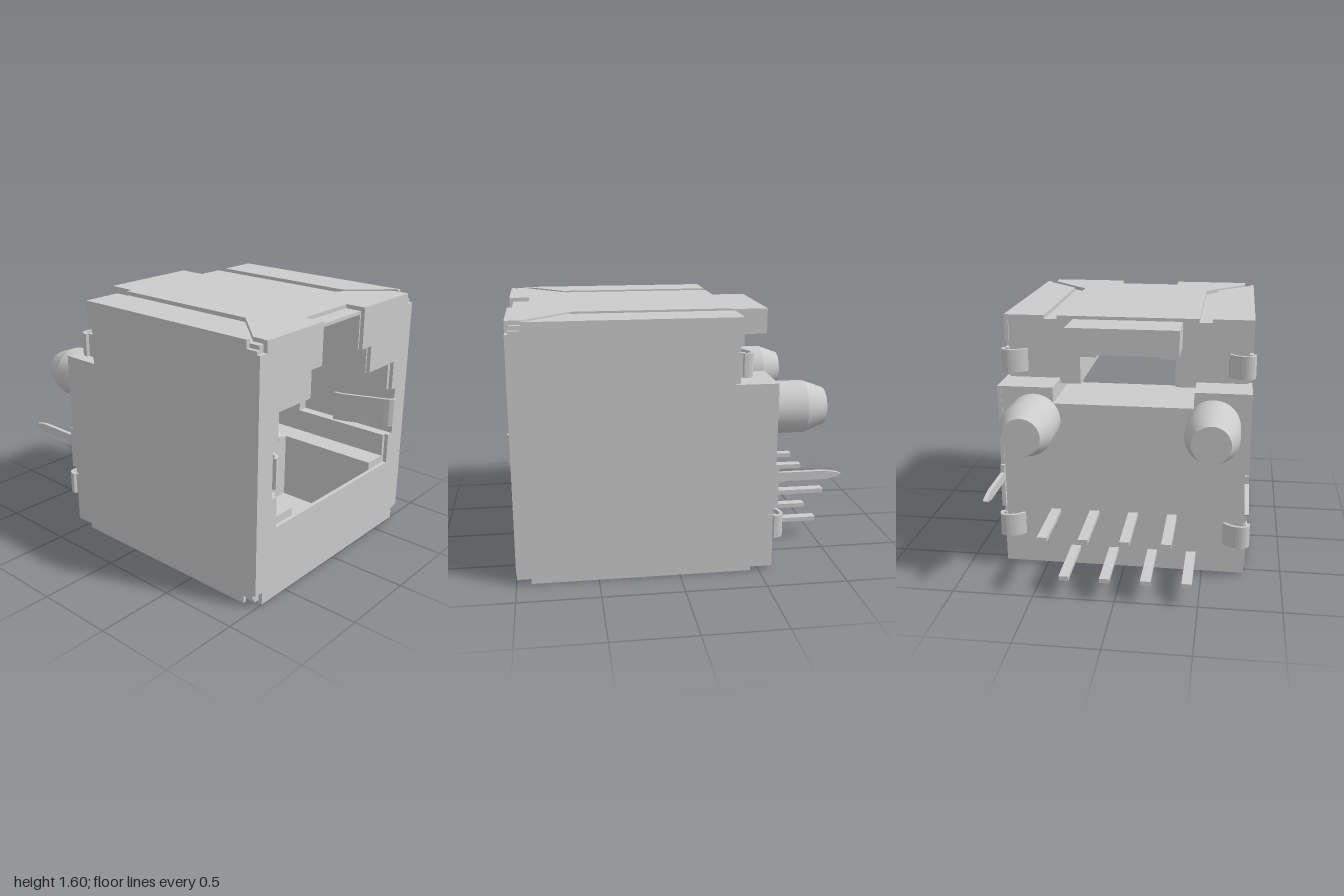
import * as THREE from 'three';

const material = new THREE.MeshStandardMaterial({ color: 0xcccccc });

const toShape = (pts) => new THREE.Shape(pts.map(([a, b]) => new THREE.Vector2(a, b)));
const solid = (pts, depth, hole) => {
  const shape = toShape(pts);
  if (hole) shape.holes.push(toShape(hole));
  return new THREE.ExtrudeGeometry(shape, { depth, bevelEnabled: false });
};
// Outline in (x, y), running from z0 to z1
const alongZ = (pts, z0, z1, hole) => solid(pts, z1 - z0, hole).translate(0, 0, z0);
// Outline in (x, z), running from y0 to y1
const alongY = (pts, y0, y1) =>
  solid(pts.map(([x, z]) => [x, -z]), y1 - y0).rotateX(-Math.PI / 2).translate(0, y0, 0);
// Outline in (z, y), running from x0 to x1
const alongX = (pts, x0, x1) => solid(pts, x1 - x0).rotateY(-Math.PI / 2).translate(x1, 0, 0);

// Turns the right half of an outline, bottom to top, into a symmetric one
const mirrored = (half) => [...half, ...half.map(([x, y]) => [-x, y]).reverse()];

// Thin bent strip following a smooth curve in (x, z)
function bentStrip(pts, thickness, y0, y1, s) {
  const curve = new THREE.SplineCurve(pts.map(([x, z]) => new THREE.Vector2(x, z)));
  const outer = [], inner = [];
  for (let i = 0; i <= 12; i++) {
    const p = curve.getPoint(i / 12), t = curve.getTangent(i / 12);
    outer.push([s * p.x, p.y]);
    inner.push([s * (p.x + t.y * thickness), p.y - t.x * thickness]);
  }
  return alongY([...outer, ...inner.reverse()], y0, y1);
}

export function createModel() {
  const model = new THREE.Group();
  const add = (name, geometry) => {
    const mesh = new THREE.Mesh(geometry, material);
    mesh.name = name;
    model.add(mesh);
    return mesh;
  };
  const box = (name, x0, x1, y0, y1, z0, z1) =>
    add(name, new THREE.BoxGeometry(x1 - x0, y1 - y0, z1 - z0)
      .translate((x0 + x1) / 2, (y0 + y1) / 2, (z0 + z1) / 2));

  // Housing, in slices from front to back
  const block = mirrored([[0.75, 0.02], [0.75, 1.575]]);
  const keyway = [[0.3, 1.165], [0.3, 1.34], [0.2, 1.34]];
  const springRecess = [[0.575, 0.66], [0.645, 0.66], [0.645, 0.98], [0.575, 0.98]];
  add('housingFront', alongZ(block, 0.29, 0.975, mirrored(
    [[0.42, 0.06], [0.42, 0.51], [0.575, 0.51], ...springRecess, [0.575, 1.165], ...keyway, [0.2, 1.555]])));
  add('housingMiddle', alongZ(block, -0.1, 0.29, mirrored(
    [[0.575, 0.51], [0.575, 1.165], ...keyway, [0.2, 1.555]])));
  add('housingRear', alongZ(block, -0.36, -0.1, mirrored(
    [[0.43, 1.1], [0.43, 1.165], ...keyway, [0.2, 1.42]])));
  add('housingBack', alongZ(mirrored([[0.765, 0.02], [0.765, 1.2], [0.43, 1.2], [0.43, 1.1]]), -0.585, -0.36));
  box('latchBlock', -0.34, 0.34, 1.42, 1.58, -0.62, -0.34);
  add('latchRamp', alongX(
    [[0.9, 1.56], [0.3, 1.46], [0.3, 1.42], [-0.1, 1.42], [-0.1, 1.56]], -0.2, 0.2));

  // Shield front plate with notched corners and plug opening
  const frontHalf = [
    [0.6, 0.46], [0.6, 0.66], [0.645, 0.66], [0.645, 0.98], [0.6, 0.98],
    [0.6, 1.17], [0.31, 1.17], [0.31, 1.34], [0.21, 1.34], [0.21, 1.6],
  ];
  const rim = [[0.715, 1.6], [0.715, 1.53], [0.775, 1.53], [0.775, 0.08], [0.715, 0.08], [0.715, 0]];
  const right = [...frontHalf, ...rim];
  add('shieldFront', alongZ([...right, ...right.map(([x, y]) => [-x, y]).reverse()], 0.975, 1));

  // Centre panels folded back from the front plate
  const panelHalf = [[0.71, 0.99], [0.71, 0.9], [0.44, 0.62], [0.44, -0.37]];
  add('shieldTop', alongY([
    [0.21, 0.99], ...panelHalf, ...panelHalf.map(([x, z]) => [-x, z]).reverse(),
    [-0.21, 0.99], [-0.21, 0.87], [0.21, 0.87]], 1.57, 1.6));
  add('shieldBottom', alongY(mirrored(panelHalf), 0, 0.03));

  // Side plate outline in (z, y)
  const sideOutline = [
    [0.91, 0], [0.91, 0.05], [0.98, 0.05], [0.98, 1.55], [0.91, 1.55], [0.91, 1.6],
    [-0.37, 1.6], [-0.37, 1.43], [-0.33, 1.43], [-0.33, 1.39], [-0.38, 1.39], [-0.38, 1.245],
    [-0.33, 1.245], [-0.33, 1.2], [-0.59, 1.2], [-0.59, 0.69], [-0.61, 0.69], [-0.61, 0.41],
    [-0.55, 0.41], [-0.55, 0.365], [-0.6, 0.365], [-0.6, 0.22], [-0.55, 0.22],
    [-0.445, 0.115], [-0.445, 0],
  ];
  const groundPin = [
    [-0.57, 0.585], [-0.9, 0.585], [-0.98, 0.6], [-1, 0.615], [-0.98, 0.625], [-0.9, 0.64], [-0.57, 0.64],
  ];

  for (const s of [1, -1]) {
    const side = s > 0 ? 'left' : 'right';
    const plate = (name, pts) =>
      add(side + name, s > 0 ? alongX(pts, 0.75, 0.775) : alongX(pts, -0.775, -0.75));
    plate('ShieldSide', sideOutline);
    plate('GroundPin', groundPin);

    // Flaps folded over top and bottom
    const flap = (zBack) => [[0.52, zBack], [0.52, 0.64], [0.775, 0.9], [0.775, zBack]].map(([x, z]) => [s * x, z]);
    add(side + 'TopFlap', alongY(flap(-0.37), 1.57, 1.6));
    add(side + 'BottomFlap', alongY(flap(-0.445), 0, 0.03));

    // Clips curled round the back edges
    const clip = (z) => [[0.775, z + 0.05], [0.765, z + 0.01], [0.73, z], [0.68, z + 0.015], [0.64, z + 0.05]];
    add(side + 'UpperClip', bentStrip(clip(-0.415), -0.02, 1.245, 1.39, s));
    add(side + 'LowerClip', bentStrip(clip(-0.63), -0.02, 0.22, 0.365, s));

    // Spring finger inside the opening
    add(side + 'SpringFinger', bentStrip(
      [[0.645, 1], [0.61, 0.985], [0.57, 0.88], [0.51, 0.73], [0.49, 0.64]], 0.02, 0.72, 0.91, s));

    // Mounting peg with tapered tip
    add(side + 'Peg', new THREE.CylinderGeometry(0.163, 0.163, 0.23, 40)
      .rotateX(-Math.PI / 2).translate(s * 0.55, 0.995, -0.685));
    add(side + 'PegTip', new THREE.CylinderGeometry(0.115, 0.163, 0.13, 40)
      .rotateX(-Math.PI / 2).translate(s * 0.55, 0.995, -0.865));
  }

  // Eight sloping contacts and their staggered rear pins
  for (let i = 0; i < 8; i++) {
    const x = -0.347 + i * 0.099;
    const top = i % 2 ? 0.77 : 0.87;
    add('contact', alongX(
      [[0.3, 0.5], [0.3, 0.53], [-0.1, top], [-0.1, top - 0.05], [0.25, 0.5]], x - 0.02, x + 0.02));
    const px = 0.43 - i * 0.123;
    const py = i % 2 ? 0.135 : 0.385;
    box('pin', px - 0.03, px + 0.03, py - 0.014, py + 0.014, -1, -0.55);
  }
  return model;
}
